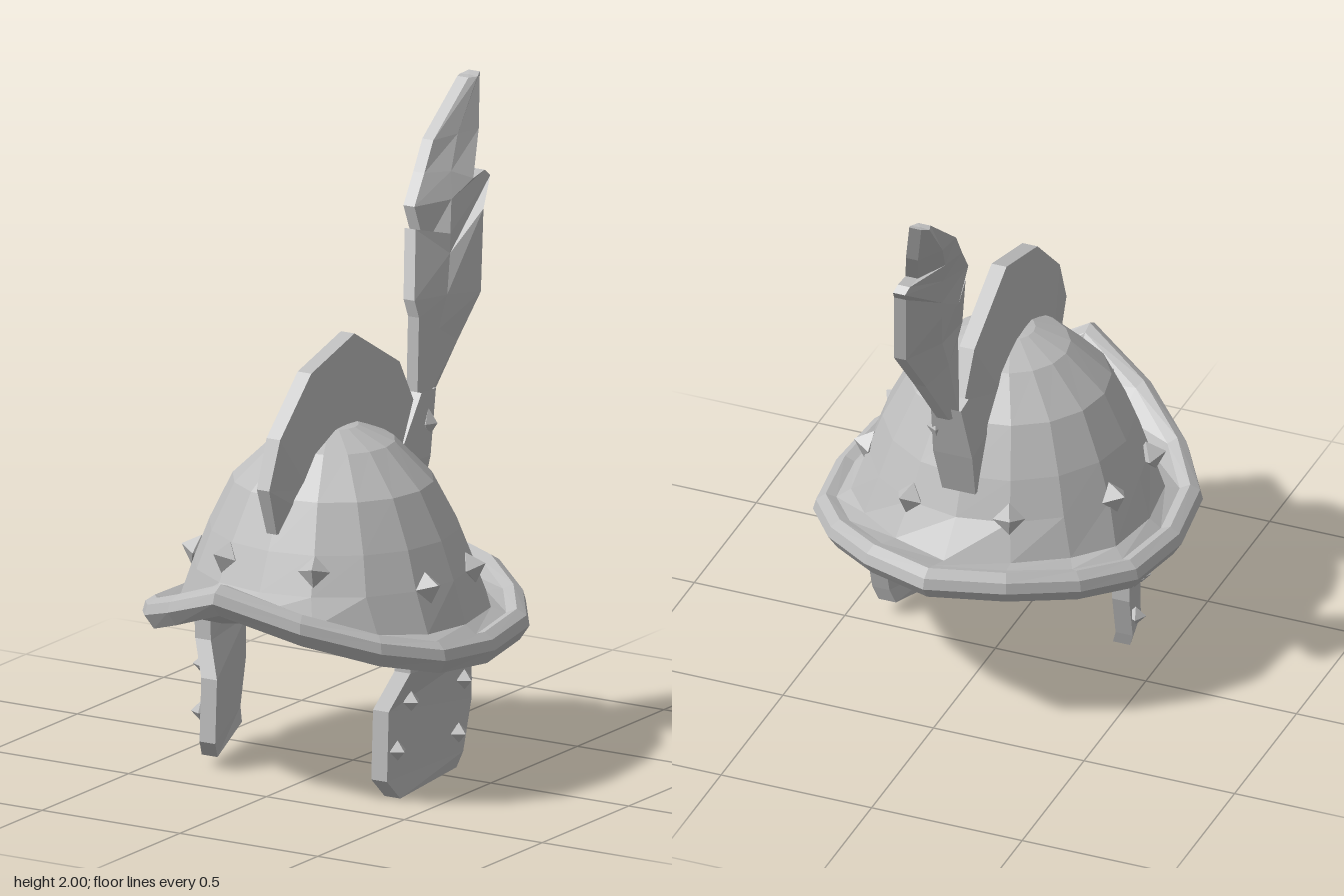
import * as THREE from 'three';

const steel = new THREE.MeshStandardMaterial({ color: 0xbebebe });
steel.name = 'grey steel';
const SIDES = 16;

// Faceted surface through closed rings of [x, y, z] points, listed from top to bottom
function loft(rings) {
  const n = rings[0].length, index = [];
  for (let j = 0; j < rings.length - 1; j++) {
    for (let i = 0; i < n; i++) {
      const a = j * n + i, b = j * n + (i + 1) % n, c = a + n, d = b + n;
      index.push(a, c, b, b, c, d);
    }
  }
  const g = new THREE.BufferGeometry();
  g.setAttribute('position', new THREE.Float32BufferAttribute(rings.flat(2), 3));
  g.setIndex(index);
  const flat = g.toNonIndexed();
  flat.computeVertexNormals();
  return flat;
}

// Ring collapsed to its centre, closing an end of a loft
function cap(ring) {
  const centre = [0, 1, 2].map((k) => ring.reduce((sum, p) => sum + p[k], 0) / ring.length);
  return ring.map(() => centre);
}
const solid = (rings) => loft([cap(rings[0]), ...rings, cap(rings[rings.length - 1])]);

// Brim edge from front to back: x, z, height of its lower edge
const EDGE = [
  [0, 0.81, 0.64], [0.24, 0.69, 0.55], [0.43, 0.52, 0.475], [0.55, 0.34, 0.43], [0.578, 0.1, 0.413],
  [0.54, -0.16, 0.425], [0.42, -0.33, 0.45], [0.235, -0.485, 0.485], [0, -0.585, 0.505],
];
const edgeAt = (i) => {
  const [x, z, y] = EDGE[i <= 8 ? i : SIDES - i];
  return [i <= 8 ? x : -x, z, y];
};
const around = (fn) => Array.from({ length: SIDES }, (_, i) => fn(i, (i / SIDES) * Math.PI * 2));

// Elliptical ring; its height is a rule of the station and z
const ellipse = (height, rx, rz, zc) => around((i, t) => {
  const z = zc + rz * Math.cos(t);
  return [rx * Math.sin(t), height(i, z), z];
});
const joinY = (i) => 0.525 + 0.36 * (edgeAt(i)[2] - 0.413);

// Brim ring scaled inwards from the edge and raised
const rim = (s, dy) => around((i) => {
  const [x, z, y] = edgeAt(i);
  return [x * s, y + dy, 0.1 + (z - 0.1) * s];
});

export function createModel() {
  const model = new THREE.Group();
  const add = (name, geometry, parent = model) => {
    const mesh = new THREE.Mesh(geometry, steel);
    mesh.name = name;
    parent.add(mesh);
    return mesh;
  };

  // Bowl, flaring into the brim at its foot
  const bowl = [
    [1.108, 0, 0, 0.11], [1.1, 0.08, 0.08, 0.115], [1.05, 0.19, 0.19, 0.11], [0.93, 0.315, 0.305, 0.115],
    [0.78, 0.39, 0.38, 0.11], [0.66, 0.435, 0.43, 0.11],
  ].map(([y, ...r]) => ellipse(() => y, ...r));
  const join = around((i) => {
    const [x, z] = edgeAt(i);
    return [x * 0.815, joinY(i), 0.1 + (z - 0.1) * 0.755];
  });
  add('bowl', loft([...bowl, join]));

  // Lining: inner wall under a ceiling that rises to the front
  const wallFoot = ellipse((i) => joinY(i) - 0.05, 0.44, 0.43, 0.09);
  const wallTop = ellipse((i, z) => Math.max(joinY(i) - 0.04, 0.64 + 0.45 * z), 0.4, 0.35, 0.09);
  add('lining', loft([wallFoot, wallTop, cap(wallTop)]));

  // Brim with a raised rolled rim
  add('brim', loft([
    join, rim(0.88, 0.085), rim(0.935, 0.098), rim(0.985, 0.078),
    rim(1, 0.045), rim(0.95, 0), rim(0.88, 0.02), wallFoot,
  ]));

  // Crest, front to back: outer z, y, inner z, y, half width at the bowl
  const crest = [
    [0.47, 0.83, 0.4, 0.83, 0.04], [0.52, 0.98, 0.39, 0.9, 0.05], [0.46, 1.13, 0.34, 0.95, 0.055],
    [0.28, 1.3, 0.22, 1.02, 0.055], [0.03, 1.37, 0.08, 1.05, 0.055], [-0.23, 1.22, -0.08, 0.99, 0.055],
    [-0.31, 1.08, -0.16, 0.88, 0.055], [-0.29, 0.84, -0.2, 0.76, 0.05],
  ].map(([z, y, zi, yi, w]) =>
    [[w, yi, zi], [w * 0.45, y, z], [-w * 0.45, y, z], [-w, yi, zi]]);
  add('crest', solid(crest));

  // Feather holder behind the crest: y, front z, half width, back z, half width
  const holder = [
    [1.06, -0.35, 0.035, -0.38, 0.035], [1.1, -0.325, 0.045, -0.4, 0.05],
    [0.9, -0.17, 0.05, -0.345, 0.065], [0.74, -0.2, 0.05, -0.295, 0.055],
  ].map(([y, zf, wf, zb, wb]) => [[-wf, y, zf], [wf, y, zf], [wb, y, zb], [-wb, y, zb]]);
  add('featherHolder', solid(holder));

  // Feather, tip to quill: x, y, z of the front edge, the spine and the back edge
  const feather = [
    [-0.075, 1.99, -0.755, -0.07, 1.99, -0.78, -0.065, 2, -0.805],
    [-0.08, 1.835, -0.56, -0.06, 1.84, -0.65, -0.025, 1.84, -0.735],
    [-0.075, 1.745, -0.5, -0.04, 1.74, -0.58, 0.015, 1.71, -0.64],
    [-0.067, 1.655, -0.43, -0.02, 1.66, -0.55, 0.012, 1.72, -0.71],
    [-0.045, 1.525, -0.455, -0.005, 1.56, -0.52, 0.02, 1.7, -0.73],
    [-0.05, 1.59, -0.41, 0, 1.5, -0.51, 0.055, 1.62, -0.635],
    [-0.01, 1.385, -0.34, 0.015, 1.38, -0.47, 0.075, 1.37, -0.588],
    [0, 1.33, -0.35, 0.01, 1.28, -0.43, 0.045, 1.23, -0.5],
    [0, 1.06, -0.34, 0, 1.06, -0.37, 0.01, 1.06, -0.4],
  ].map(([xf, yf, zf, xs, ys, zs, xb, yb, zb]) => [
    [xf - 0.02, yf, zf], [xf + 0.02, yf, zf], [xs + 0.032, ys, zs],
    [xb + 0.02, yb, zb], [xb - 0.02, yb, zb], [xs - 0.032, ys, zs],
  ]);
  add('feather', solid(feather));

  // Pointed studs
  const studs = new THREE.Group();
  studs.name = 'studs';
  model.add(studs);
  const stud = (name, size, p, dir) => {
    const m = add(name, new THREE.OctahedronGeometry(size), studs);
    m.position.set(...p);
    m.lookAt(p[0] + dir[0], p[1] + dir[1], p[2] + dir[2]);
    return m;
  };

  // Cheek guards, top to bottom: x, y, z of the front edge and of the back edge
  const guardRows = [
    [0.395, 0.52, 0.29, 0.43, 0.52, 0], [0.39, 0.4, 0.29, 0.43, 0.4, 0],
    [0.34, 0.28, 0.335, 0.43, 0.26, 0], [0.34, 0.06, 0.345, 0.425, 0.1, 0.04],
    [0.36, 0, 0.3, 0.41, 0.05, 0.055],
  ];
  const guardStuds = [[0.378, 0.305, 0.265], [0.43, 0.33, 0.04], [0.357, 0.155, 0.31], [0.425, 0.165, 0.065]];
  // Each side has its own outward shift of the back edge and lift of the lower end
  for (const [name, s, shift, lift] of [['leftCheekGuard', 1, 0, 0], ['rightCheekGuard', -1, 0.015, 0.035]]) {
    const raise = (y) => y + lift * Math.max(0, 1 - y / 0.4);
    const rings = guardRows.map(([xf, yf, zf, xb, yb, zb]) => {
      const ring = [
        [s * (xf - 0.057), raise(yf), zf], [s * xf, raise(yf), zf],
        [s * (xb + shift), raise(yb), zb], [s * (xb + shift - 0.057), raise(yb), zb],
      ];
      return s > 0 ? ring : ring.reverse();
    });
    add(name, solid(rings));
    for (const [x, y, z] of guardStuds) {
      stud('guardStud', 0.032, [s * (x + (z < 0.2 ? shift : 0)), raise(y), z], [s, 0, 0.3]);
    }
  }

  for (const s of [1, -1]) {
    for (const [x, y, z] of [[0.16, 0.735, 0.48], [0.42, 0.665, 0.235], [0.405, 0.665, -0.035], [0.165, 0.675, -0.29]]) {
      stud('bowlStud', 0.05, [s * x, y, z], [s * x, 0.15, z - 0.1]);
    }
  }
  stud('holderStud', 0.03, [0.05, 1.0, -0.355], [1, 0, -0.3]).scale.set(1, 1.6, 1);

  return model;
}
